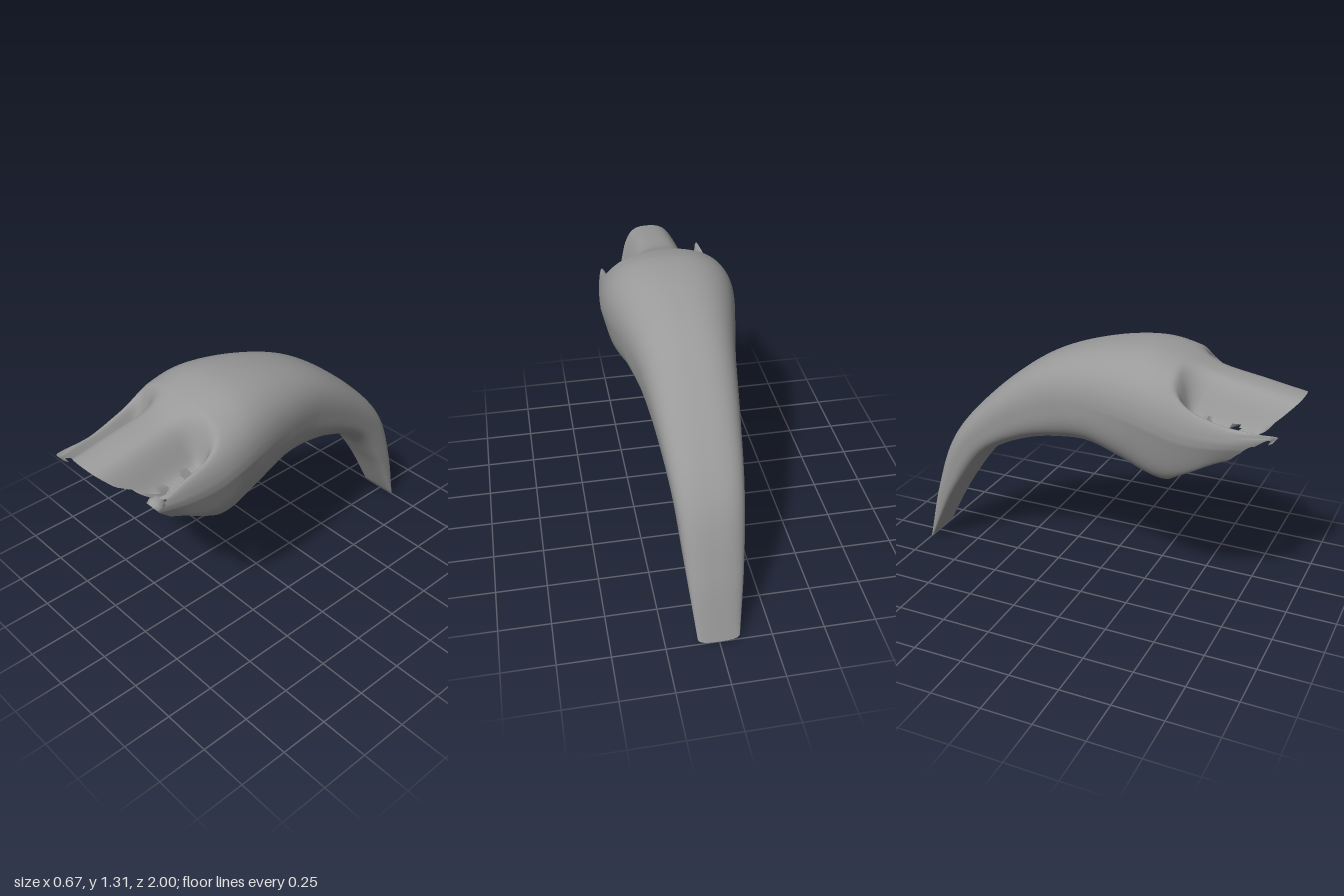
import * as THREE from 'three';

const material = new THREE.MeshStandardMaterial({ color: 0x9a9a9a, side: THREE.DoubleSide });
const V = (x, y, z) => new THREE.Vector3(x, y, z);
const smooth = THREE.MathUtils.smoothstep;
const bump = (d, width, power) => Math.exp(-(Math.abs(d / width) ** power));

// Cross-sections from tail to mouth: top z, top y, underside z, underside y, half width
const sections = [
  [-1.0, 0.0, -0.96, 0.045, 0.1],
  [-0.92, 0.34, -0.78, 0.36, 0.135],
  [-0.8, 0.66, -0.58, 0.61, 0.162],
  [-0.57, 0.93, -0.33, 0.735, 0.193],
  [-0.27, 1.16, -0.12, 0.78, 0.23],
  [0.02, 1.27, 0.0, 0.79, 0.275],
  [0.28, 1.305, 0.2, 0.745, 0.322],
  [0.43, 1.28, 0.32, 0.71, 0.333],
  [0.6, 1.22, 0.42, 0.695, 0.325],
  [0.8, 1.185, 0.52, 0.715, 0.308],
  [1.0, 1.15, 0.62, 0.77, 0.28],
];
const topLine = new THREE.CatmullRomCurve3(sections.map((s) => V(s[4], s[1], s[0])));
const underLine = new THREE.CatmullRomCurve3(sections.map((s) => V(s[4], s[3], s[2])));

// Point on the skin: t runs tail to mouth, a runs round the section from the top
function skinPoint(t, a) {
  const top = topLine.getPoint(t), under = underLine.getPoint(t);
  const sin = Math.sin(a), cos = Math.cos(a);
  // rounded shoulders above, squarer lobes below
  const upperPower = 3 - 0.6 * smooth(t, 0.2, 0.5) - 0.3 * smooth(t, 0.75, 1);
  const lowerPower = 3 + 2.5 * smooth(t, 0.5, 0.8);
  const p = THREE.MathUtils.lerp(lowerPower, upperPower, smooth(cos, -0.25, 0.25));
  const r = (Math.abs(sin) ** p + Math.abs(cos) ** p) ** (-1 / p);
  let v = r * cos;
  const flare = (v > 0 ? 0.06 : 0.2) * smooth(t, 0.4, 0.7);
  const x = top.x * r * sin * (1 + flare * v);
  const span = Math.hypot(top.z - under.z, top.y - under.y);
  const z = (top.z + under.z) / 2 + ((top.z - under.z) / 2) * v;
  let dent = 0;
  if (v > 0) {
    // paired grooves on the upper face, easing out toward the middle ridge
    const d = Math.abs(x) - 0.2;
    const g = d < 0 ? bump(d, 0.072, 2) : bump(d, 0.07, 4);
    v -= (g * smooth(z, 0.45, 0.6) * smooth(v, 0.1, 0.5) * 0.32) / span;
  } else {
    // valley between the two lower lobes, whose front faces turn up steeply
    dent = bump(Math.abs(x) - 0.17, 0.075, 4) * smooth(-v, 0.3, 0.8) * smooth(t, 0.8, 1);
    v += (bump(x, 0.085, 6) * smooth(t, 0.48, 0.97) * 0.42) / span;
  }
  return V(x, (top.y + under.y) / 2 + ((top.y - under.y) / 2) * v + 0.065 * dent,
    (top.z + under.z) / 2 + ((top.z - under.z) / 2) * v - 0.11 * dent);
}

function skinGeometry(rows, cols) {
  const pos = [], index = [];
  for (let i = 0; i <= rows; i++) {
    for (let j = 0; j < cols; j++) {
      const a = (j / cols) * Math.PI * 2;
      const t = i / rows;
      const p = skinPoint(t, a);
      const upper = smooth(Math.cos(a), 0.02, 0.3);
      const end = smooth(t, 0.86, 1) * upper;
      // the left cheek is broken off further back, the right one keeps a pointed rim
      const chip = (p.x > 0 ? 0.05 : 0) + 0.007 * Math.sin(j * 1.3);
      const q = skinPoint(t - chip * end * smooth(Math.abs(p.x), 0.13, 0.2), a);
      const rim = end * bump(p.x + 0.262, 0.024, 2);
      pos.push(q.x, q.y + 0.05 * rim, q.z + 0.12 * rim);
    }
  }
  const at = (i, j) => i * cols + (j % cols);
  // small openings in the floor of each groove
  const isHole = (k, j) => {
    if (Math.cos((j / cols) * Math.PI * 2) < 0.1) return false;
    const x = Math.abs(pos[k * 3]) - 0.2, z = pos[k * 3 + 2];
    return [0.6, 0.73].some((c) => Math.hypot(x / 0.022, (z - c) / 0.024) < 1);
  };
  for (let i = 0; i < rows; i++) {
    for (let j = 0; j < cols; j++) {
      const p = at(i, j), q = at(i + 1, j), r = at(i, j + 1), s = at(i + 1, j + 1);
      if (!isHole(p, j)) index.push(p, q, r, r, q, s);
    }
  }
  return buildGeometry(pos, index);
}

// Flat end that closes the tail
function tailCapGeometry(cols) {
  const pos = [0, 0.0225, -0.98], index = [];
  for (let j = 0; j < cols; j++) {
    pos.push(...skinPoint(0, (j / cols) * Math.PI * 2).toArray());
    index.push(0, 1 + j, 1 + ((j + 1) % cols));
  }
  return buildGeometry(pos, index);
}

function buildGeometry(pos, index) {
  const geo = new THREE.BufferGeometry();
  geo.setAttribute('position', new THREE.Float32BufferAttribute(pos, 3));
  geo.setIndex(index);
  geo.computeVertexNormals();
  return geo;
}

export function createModel() {
  const model = new THREE.Group();
  const add = (name, geo) => {
    const mesh = new THREE.Mesh(geo, material);
    mesh.name = name;
    model.add(mesh);
    return mesh;
  };
  add('curvedShell', skinGeometry(140, 180));
  add('tailCap', tailCapGeometry(48));

  // Small open cups set in the mouth, one upper and one lower on each side
  const cup = (r, h) => new THREE.LatheGeometry(
    [[0.01, 0], [r * 0.75, h * 0.2], [r, h * 0.65], [r * 0.92, h]].map(([x, y]) => new THREE.Vector2(x, y)), 10);
  for (const side of [-1, 1]) {
    const upper = add('upperSocket', cup(side > 0 ? 0.042 : 0.03, 0.06));
    upper.position.set(side * 0.205, 0.965, 0.74);
    upper.rotation.x = 2.2;
    const lower = add('lowerSocket', cup(0.048, 0.08));
    lower.position.set(side * 0.2, 0.83, 0.5);
    lower.rotation.x = 0.7;
  }
  return model;
}
